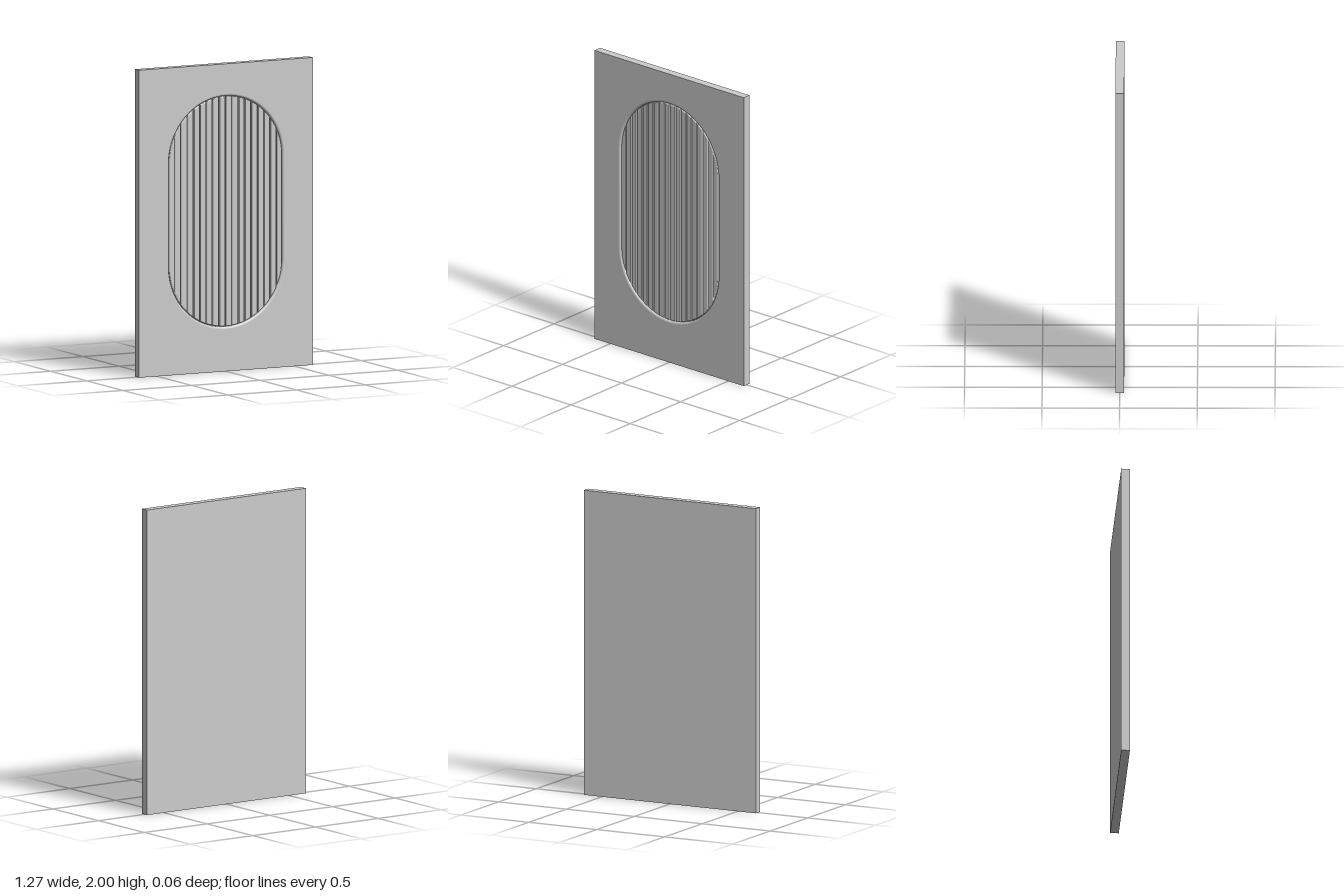
import * as THREE from 'three';

const W = 1.266, H = 2, FRONT = 0.028, BACK = -0.028, FLOOR = 0.006;
const CY = 1.04;        // centre height of the recess
const STRAIGHT = 0.337; // half length of the straight sides
const R = 0.428;        // radius of the rounded ends
const ROUND = 0.014;    // rounding of the recess edge

// Points round a stadium outline of the given radius, counter-clockwise
function stadium(radius, seg = 40) {
  const pts = [];
  for (const [start, cy] of [[0, CY + STRAIGHT], [Math.PI, CY - STRAIGHT]]) {
    for (let i = 0; i <= seg; i++) {
      const a = start + Math.PI * i / seg;
      pts.push(new THREE.Vector2(radius * Math.cos(a), cy + radius * Math.sin(a)));
    }
  }
  return pts;
}

// Rounded lip swept round the recess, then straight down to the floor
function rimGeometry() {
  const rings = [];
  for (let i = 0; i <= 6; i++) {
    const a = Math.PI / 2 * i / 6;
    rings.push([R - ROUND * Math.sin(a), FRONT - ROUND * (1 - Math.cos(a))]);
  }
  rings.push([R - ROUND, FLOOR]);
  const pos = [], idx = [], n = stadium(R).length;
  for (const [radius, z] of rings) for (const p of stadium(radius)) pos.push(p.x, p.y, z);
  for (let r = 0; r < rings.length - 1; r++) {
    for (let i = 0; i < n; i++) {
      const j = (i + 1) % n, a = r * n + i, b = r * n + j;
      idx.push(a, b, b + n, a, b + n, a + n);
    }
  }
  const geo = new THREE.BufferGeometry();
  geo.setAttribute('position', new THREE.Float32BufferAttribute(pos, 3));
  geo.setIndex(idx);
  geo.computeVertexNormals();
  return geo;
}

// Vertical slat between x0 and x1 whose ends follow the recess curve
function slatGeometry(x0, x1) {
  const radius = R - ROUND - 0.003, bevel = 0.007, steps = 6;
  const top = [], bottom = [];
  for (let i = 0; i <= steps; i++) {
    const x = x0 + (x1 - x0) * i / steps;
    const reach = STRAIGHT + Math.sqrt(Math.max(0, radius * radius - x * x));
    bottom.push(new THREE.Vector2(x, CY - reach));
    top.unshift(new THREE.Vector2(x, CY + reach));
  }
  const height = 0.018;
  const geo = new THREE.ExtrudeGeometry(new THREE.Shape([...bottom, ...top]), {
    depth: height - bevel, bevelEnabled: true, bevelThickness: bevel,
    bevelSize: bevel, bevelOffset: -bevel, bevelSegments: 4,
  });
  geo.translate(0, 0, FLOOR);
  return geo;
}

export function createModel() {
  const group = new THREE.Group();
  const material = new THREE.MeshStandardMaterial({ color: 0xcccccc });
  const add = (name, geo, parent = group) => {
    const mesh = new THREE.Mesh(geo, material);
    mesh.name = name;
    parent.add(mesh);
    return mesh;
  };

  // Back slab, whose front face is the floor of the recess
  add('backPanel', new THREE.BoxGeometry(W, H, FLOOR - BACK))
    .position.set(0, H / 2, (FLOOR + BACK) / 2);

  // Front layer with the stadium opening
  const face = new THREE.Shape([
    new THREE.Vector2(-W / 2, 0), new THREE.Vector2(W / 2, 0),
    new THREE.Vector2(W / 2, H), new THREE.Vector2(-W / 2, H),
  ]);
  face.holes.push(new THREE.Path(stadium(R).reverse()));
  add('frontFrame', new THREE.ExtrudeGeometry(face, { depth: FRONT - FLOOR, bevelEnabled: false }))
    .position.z = FLOOR;

  add('recessRim', rimGeometry());

  // Row of slats filling the recess
  const slats = new THREE.Group();
  slats.name = 'slats';
  group.add(slats);
  const count = 18, pitch = 0.0465, gap = 0.005, limit = R - ROUND - 0.004;
  for (let i = 0; i < count; i++) {
    const x = (i - count / 2) * pitch;
    const x0 = Math.max(x + gap / 2, -limit), x1 = Math.min(x + pitch - gap / 2, limit);
    add('slat', slatGeometry(x0, x1), slats);
  }
  return group;
}
